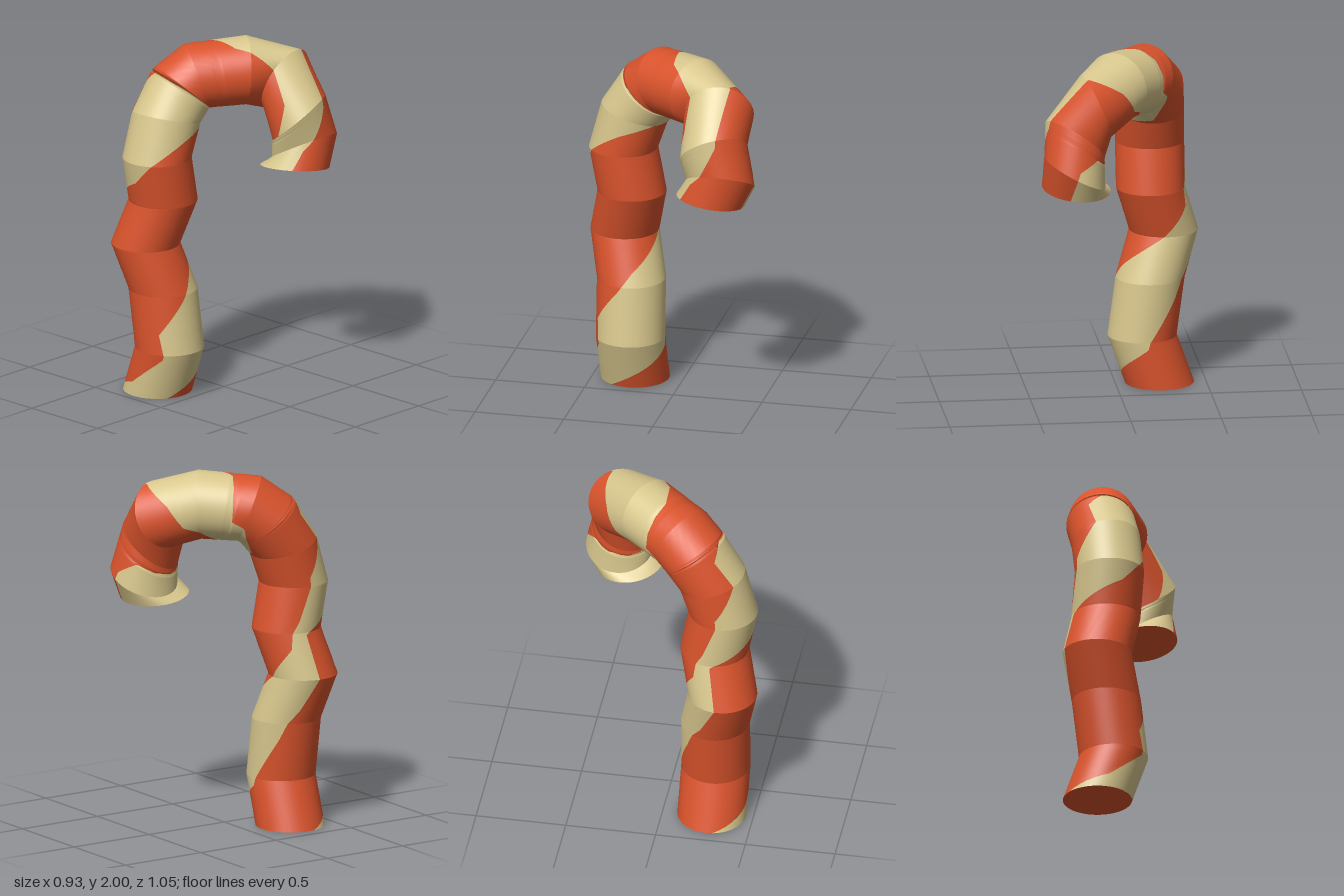
import * as THREE from 'three';
import { mergeGeometries } from 'three/addons/utils/BufferGeometryUtils.js';

const R = 0.19, COLS = 24, STEPS = 20;

// Rings along the cane: centre, then travel direction
const RINGS = [
  [[-0.245, 0, 0.27], [0, 1, 0]],
  [[-0.15, 0.27, 0.275], [0, 1, 0]],
  [[-0.195, 0.6, 0.28], [0, 1, 0]],
  [[-0.275, 0.855, 0.335], [0, 1, 0]],
  [[-0.197, 1.11, 0.277], [0, 1, 0]],
  [[-0.197, 1.365, 0.325], [0, 1, 0]],
  [[-0.19, 1.58, 0.26], [-0.03, 0.96, -0.28]],
  [[-0.175, 1.725, 0.16], [0.2, 0.77, -0.6]],
  [[-0.13, 1.79, 0.08], [0.55, 0.34, -0.76]],
  [[0.035, 1.81, -0.136], [0.6, -0.05, -0.8]],
  [[0.17, 1.75, -0.3], [0.91, -0.38, -0.14]],
  [[0.285, 1.56, -0.295], [0.55, -0.75, -0.35]],
  [[0.29, 1.385, -0.335], [0.47, -0.88, 0]],
  [[0.275, 1.277, -0.275], [0.08, -1, 0.147]],
];

// Stripe edges: [ring position, angle in degrees around the tube]
const LEADING = [[0, 60], [0.85, 180], [1.7, 225], [2.3, 250], [3, 265], [3.95, 270], [4.55, 360], [4.95, 390],
  [5.55, 445], [5.9, 485], [6.3, 540], [7.5, 560], [8.3, 590], [8.45, 683], [8.75, 723], [9, 736], [10, 760],
  [10.6, 773], [11, 815], [11.2, 880], [11.3, 953], [11.8, 985], [13, 1000]];
const TRAILING = [[0, -80], [0.3, -12], [0.9, 35], [1.35, 30], [1.9, 78], [2.3, 107], [3.05, 180], [3.65, 235],
  [4.25, 255], [5.25, 270], [6, 320], [6.7, 315], [6.95, 340], [7.05, 480], [7.1, 500], [8.5, 530], [9.3, 580],
  [9.5, 624], [9.95, 683], [11.2, 705], [12.3, 757], [13, 765]];

function lookup(table, s) {
  let i = 1;
  while (i < table.length - 1 && table[i][0] < s) i++;
  const [s0, a0] = table[i - 1], [s1, a1] = table[i];
  return a0 + (a1 - a0) * (s - s0) / (s1 - s0);
}

// Carry the ring axes along the path without twist
function makeFrames() {
  const z = new THREE.Vector3(0, 0, 1), x = new THREE.Vector3(1, 0, 0);
  let last = new THREE.Vector3(0, 1, 0);
  return RINGS.map(([c, d]) => {
    const n = new THREE.Vector3(...d).normalize();
    const q = new THREE.Quaternion().setFromUnitVectors(last, n);
    z.applyQuaternion(q);
    x.applyQuaternion(q);
    last = n;
    return { c: new THREE.Vector3(...c), n, z: z.clone(), x: x.clone() };
  });
}

function ringPoint(f, a) {
  return f.c.clone().addScaledVector(f.z, R * Math.cos(a)).addScaledVector(f.x, R * Math.sin(a));
}

// A spiral ribbon between two edge functions, creased at every ring
function ribbon(frames, from, to) {
  const parts = [];
  for (let k = 0; k < frames.length - 1; k++) {
    const pos = [], index = [], row = COLS + 1;
    for (let i = 0; i <= STEPS; i++) {
      const t = i / STEPS, a0 = from(k + t), a1 = to(k + t);
      for (let j = 0; j <= COLS; j++) {
        const a = THREE.MathUtils.degToRad(a0 + (a1 - a0) * j / COLS);
        pos.push(...ringPoint(frames[k], a).lerp(ringPoint(frames[k + 1], a), t));
        if (i < STEPS && j < COLS) {
          const v = i * row + j;
          index.push(v, v + 1, v + row, v + 1, v + row + 1, v + row);
        }
      }
    }
    const g = new THREE.BufferGeometry();
    g.setAttribute('position', new THREE.Float32BufferAttribute(pos, 3));
    g.setIndex(index);
    g.computeVertexNormals();
    parts.push(g);
  }
  return mergeGeometries(parts);
}

export function createModel() {
  const group = new THREE.Group();
  group.name = 'candyCane';
  const red = new THREE.MeshStandardMaterial({ color: 0xd9532c, side: THREE.DoubleSide });
  red.name = 'orange red';
  const cream = new THREE.MeshStandardMaterial({ color: 0xd8c78d, side: THREE.DoubleSide });
  cream.name = 'cream';
  const frames = makeFrames();

  const add = (name, geometry, material) => {
    const mesh = new THREE.Mesh(geometry, material);
    mesh.name = name;
    group.add(mesh);
    return mesh;
  };

  // Two interlocking spiral stripes
  const lead = s => lookup(LEADING, s), trail = s => lookup(TRAILING, s);
  add('creamStripe', ribbon(frames, trail, lead), cream);
  add('redStripe', ribbon(frames, lead, s => trail(s) + 360), red);

  // Flat caps at both ends
  const front = new THREE.Vector3(0, 0, 1);
  const cap = (name, f, dir) => {
    const mesh = add(name, new THREE.CircleGeometry(R, 48), red);
    mesh.position.copy(f.c);
    mesh.quaternion.setFromUnitVectors(front, dir);
  };
  cap('baseCap', frames[0], frames[0].n.clone().negate());
  cap('hookCap', frames[frames.length - 1], frames[frames.length - 1].n);
  return group;
}
